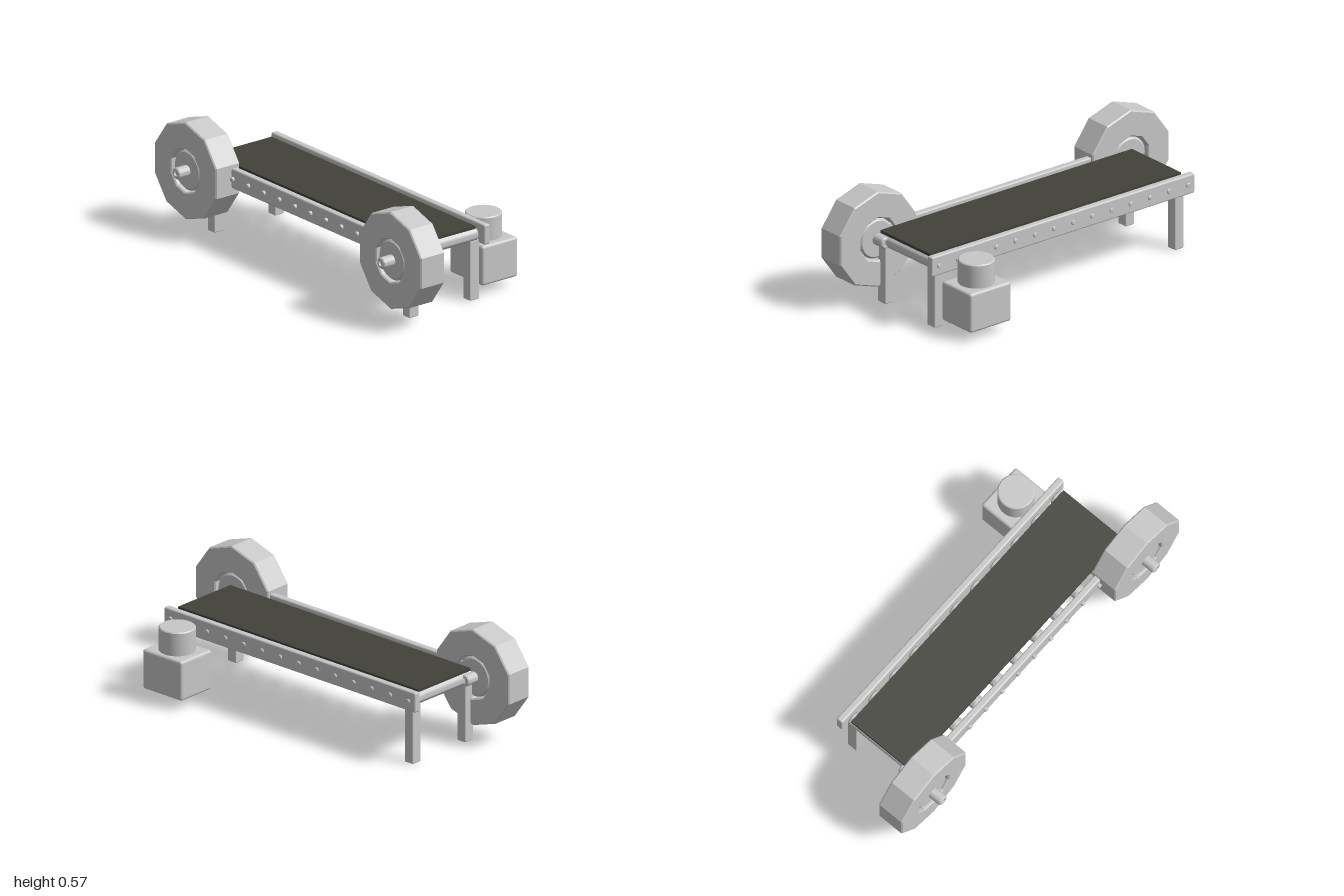
import * as THREE from 'three';
import { toCreasedNormals } from 'three/addons/utils/BufferGeometryUtils.js';
import { RoundedBoxGeometry } from 'three/addons/geometries/RoundedBoxGeometry.js';

const metal = new THREE.MeshStandardMaterial({ color: 0xc8c8c8 });
metal.name = 'light grey metal';
const rubber = new THREE.MeshStandardMaterial({ color: 0x42423a });
rubber.name = 'dark belt rubber';

const MID_Z = 0.0325; // centre line of the conveyor
const AXLE_Y = 0.323;

// Chamfered round bar centred on the origin, along y; optional dimple in both ends
function roundBar(r, length, chamfer, dimple = 0, segments = 32) {
  const h = length / 2;
  const half = [[r, h - chamfer], [r - chamfer, h]];
  if (dimple) half.push([dimple, h], [dimple, h - 0.01], [0, h - 0.01]);
  else half.push([0, h]);
  const lower = half.map(([x, y]) => [x, -y]).reverse();
  const points = [...lower, ...half].map(([x, y]) => new THREE.Vector2(x, y));
  return toCreasedNormals(new THREE.LatheGeometry(points, segments), 0.5);
}

const barZ = (...args) => roundBar(...args).rotateX(Math.PI / 2);

function decagon(Type, r) {
  const points = [];
  for (let i = 0; i < 10; i++) {
    const a = Math.PI / 2 + (i * Math.PI) / 5;
    points.push(new THREE.Vector2(r * Math.cos(a), r * Math.sin(a)));
  }
  return new Type(points);
}

// Ten-sided tyre with a ten-sided opening and chamfered edges
function tyreGeometry() {
  const shape = decagon(THREE.Shape, 0.2435);
  shape.holes.push(decagon(THREE.Path, 0.109));
  const bevel = 0.006;
  return new THREE.ExtrudeGeometry(shape, {
    depth: 0.145 - 2 * bevel, bevelEnabled: true, bevelThickness: bevel,
    bevelSize: bevel, bevelOffset: -bevel, bevelSegments: 1,
  }).translate(0, 0, -0.0725 + bevel);
}

export function createModel() {
  const model = new THREE.Group();
  model.name = 'conveyor';

  function add(name, geometry, material, x, y, z, parent = model) {
    const mesh = new THREE.Mesh(geometry, material);
    mesh.name = name;
    mesh.position.set(x, y, z);
    parent.add(mesh);
    return mesh;
  }

  // Belt sheet lying on the rollers
  add('belt', new THREE.BoxGeometry(1.53, 0.014, 0.365), rubber, 0, 0.367, MID_Z);

  // Rollers
  const roller = barZ(0.036, 0.405, 0.005);
  for (let i = 0; i < 11; i++) add('roller', roller, metal, -0.73 + i * 0.146, 0.323, MID_Z);

  // Side rails with a row of bolts, and the legs
  const rail = new RoundedBoxGeometry(1.6, 0.1, 0.035, 2, 0.008);
  const bolt = barZ(0.012, 0.02, 0.003, 0, 12);
  const leg = new RoundedBoxGeometry(0.053, 0.3, 0.056, 2, 0.005);
  for (const side of [1, -1]) {
    const name = side > 0 ? 'front' : 'back';
    add(name + 'Rail', rail, metal, 0, 0.331, MID_Z + side * 0.225);
    for (let i = 0; i < 14; i++) {
      add(name + 'Bolt', bolt, metal, (i - 6.5) * 0.1166, 0.331, MID_Z + side * (side > 0 ? 0.246 : 0.24));
    }
    for (const x of [-0.731, 0.731]) add(name + 'Leg', leg, metal, x, 0.15, MID_Z + side * 0.183);
  }

  // Two wheels on the front, each with hub and axle
  const tyre = tyreGeometry();
  const hub = barZ(0.1, 0.125, 0.01);
  const axle = barZ(0.028, 0.26, 0.005, 0.013);
  for (const side of [1, -1]) {
    const wheel = new THREE.Group();
    wheel.name = side > 0 ? 'leftWheel' : 'rightWheel';
    wheel.position.set(side * 0.768, AXLE_Y, 0.2975);
    add('tyre', tyre, metal, 0, 0, 0, wheel);
    add('hub', hub, metal, 0, 0, 0, wheel);
    add('axle', axle, metal, 0, 0, 0, wheel);
    model.add(wheel);
  }

  // Drive motor at the back left
  add('motorBox', new RoundedBoxGeometry(0.25, 0.2, 0.216, 3, 0.014), metal, 0.617, 0.148, -0.318);
  add('motorDrum', roundBar(0.088, 0.125, 0.005, 0, 40), metal, 0.617, 0.304, -0.317);

  return model;
}
